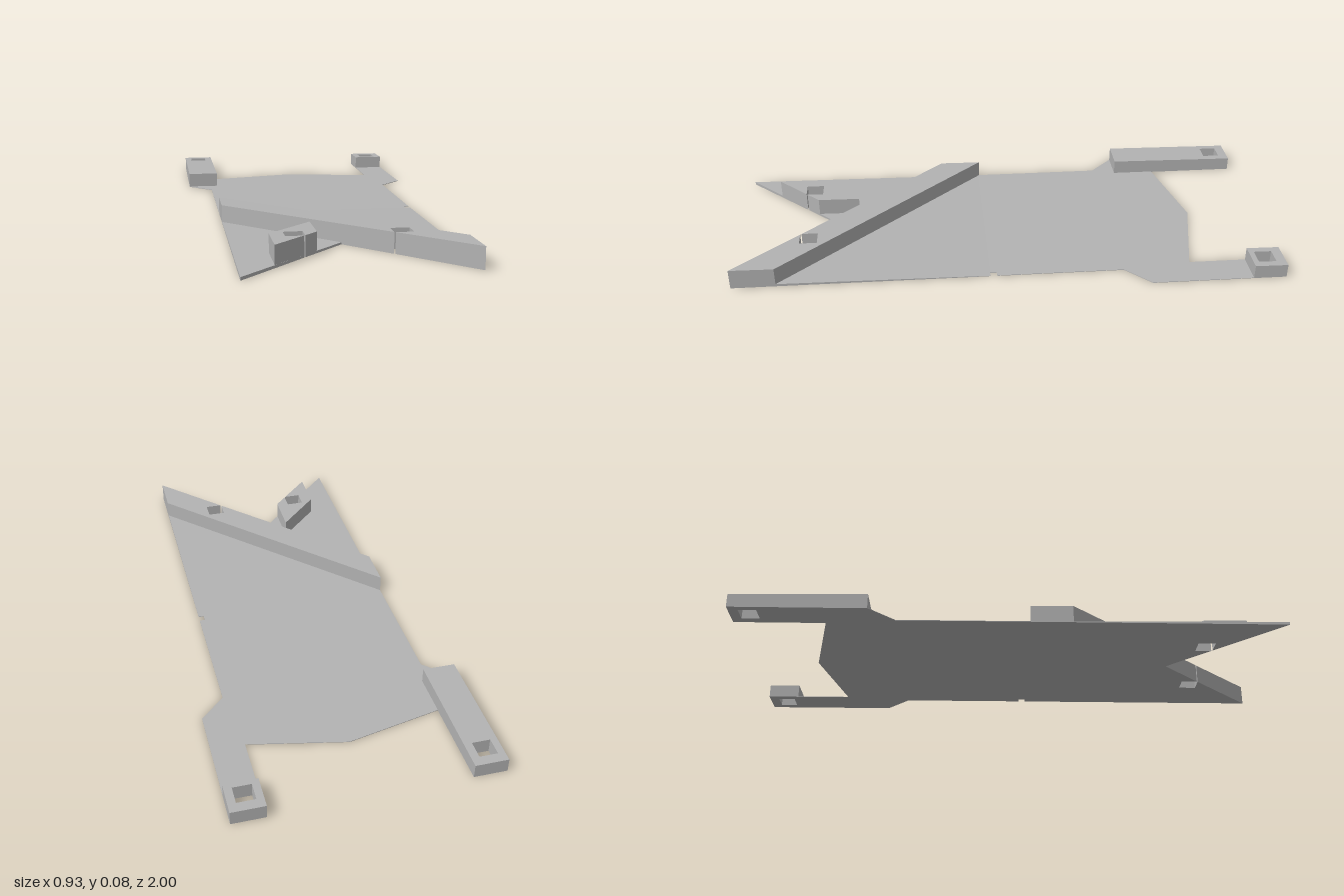
import * as THREE from 'three';

const grey = new THREE.MeshStandardMaterial({ color: 0xb3b3b3 });
grey.name = 'plain grey';

// Gently sloping top surfaces, rising toward the front
const padTop = (z) => 0.063 + 0.0124 * z;
const plateTop = (z) => 0.002 + 0.0095 * Math.max(0, z - 0.07);

// Square hole centred on (x, z)
const square = (x, z, r = 0.0325) => [[x - r, z - r], [x + r, z - r], [x + r, z + r], [x - r, z + r]];
const toPoints = (list) => list.map(([x, z]) => new THREE.Vector2(x, z));

// Upright slab from an (x, z) outline, with its top following a slope
function slab(name, outline, holes, base, top) {
  const shape = new THREE.Shape(toPoints(outline));
  holes.forEach((h) => shape.holes.push(new THREE.Path(toPoints(h))));
  const geo = new THREE.ExtrudeGeometry(shape, { depth: 1, bevelEnabled: false });
  geo.rotateX(Math.PI / 2);
  const p = geo.attributes.position;
  for (let i = 0; i < p.count; i++) p.setY(i, p.getY(i) > -0.5 ? top(p.getZ(i)) : base);
  geo.computeVertexNormals();
  const mesh = new THREE.Mesh(geo, grey);
  mesh.name = name;
  return mesh;
}

export function createModel() {
  const group = new THREE.Group();
  group.name = 'notchedPlate';
  const W = 0.373, A = 0.463, B = 0.345, split = 0.07;
  const rearHoles = [square(-0.406, -0.932), square(0.403, -0.932)];

  // Square hole that just breaks through the sloping edge of the tail notch
  const bite = [[0.149, 0.765], [0.21, 0.765], [0.21, 0.7], [0.145, 0.7], [0.145, 0.761]];
  const mirroredBite = bite.map(([x, z]) => [-x, z]).reverse();

  // Thin plate: rear half with two arms and a tiny side nick, front half with the swallow tail
  group.add(slab('rearPlate', [
    [-A, -1], [-B, -1], [-B, -0.67], [0, -0.745], [B, -0.67], [B, -1], [A, -1], [A, -0.51],
    [W, -0.42], [W, 0.045], [0.353, 0.045], [0.353, split], [-W, split], [-W, -0.42], [-A, -0.51],
  ], rearHoles, 0, plateTop));
  group.add(slab('frontPlate', [
    [-W, split], [W, split], [W, 1], ...bite, [0, 0.61], ...mirroredBite, [-W, 1],
  ], [], 0, plateTop));

  // Raised blocks on the rear arms
  group.add(slab('longArmBlock', [[-A, -1], [-B, -1], [-B, -0.51], [-A, -0.51]],
    [rearHoles[0]], 0.001, padTop));
  group.add(slab('shortArmBlock', [[B, -1], [A, -1], [A, -0.88], [B, -0.88]],
    [rearHoles[1]], 0.001, padTop));

  // Diagonal bar across the plate and the short block on the other tail
  group.add(slab('diagonalBar', [
    [-W, 0.065], [W, 0.84], [W, 1], ...bite, [0, 0.61], [-W, 0.22],
  ], [], 0.001, padTop));
  group.add(slab('tailBlock', [
    [-0.257, 0.717], [-0.1, 0.556], [-0.1, 0.714], ...mirroredBite, [-0.257, 0.877],
  ], [], 0.001, padTop));
  return group;
}
